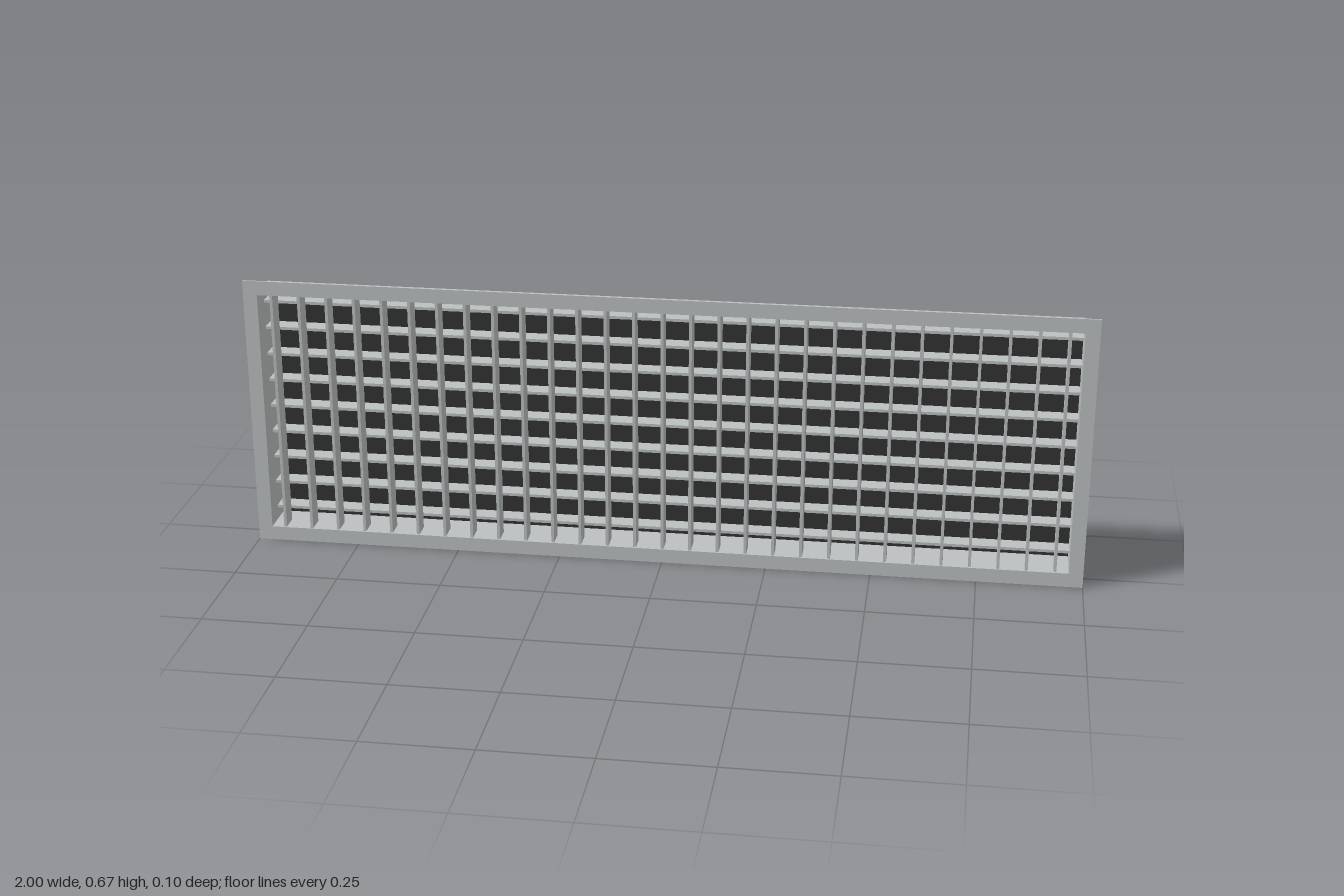
import * as THREE from 'three';

const WIDTH = 2, HEIGHT = 0.667, MID = HEIGHT / 2;
const DUCT_W = 1.94, DUCT_H = 0.606, WALL = 0.004;
const PITCH = 0.0667;

// Rectangular ring of the given outer and inner sizes, running from z0 to z1
function ring(name, w, h, iw, ih, z0, z1, material) {
  const rect = (Path, a, b) => new Path([
    new THREE.Vector2(-a / 2, -b / 2), new THREE.Vector2(a / 2, -b / 2),
    new THREE.Vector2(a / 2, b / 2), new THREE.Vector2(-a / 2, b / 2),
  ]);
  const shape = rect(THREE.Shape, w, h);
  shape.holes.push(rect(THREE.Path, iw, ih));
  const geometry = new THREE.ExtrudeGeometry(shape, { depth: z1 - z0, bevelEnabled: false });
  const mesh = new THREE.Mesh(geometry, material);
  mesh.name = name;
  mesh.position.set(0, MID, z0);
  return mesh;
}

export function createModel() {
  const model = new THREE.Group();
  model.name = 'ventGrille';
  const metal = new THREE.MeshStandardMaterial({ color: 0xbcc0c0 });
  metal.name = 'pale grey metal';
  const dark = new THREE.MeshStandardMaterial({ color: 0x333333 });
  dark.name = 'dark backing';

  // Front flange and the shallow duct collar behind it
  const innerW = DUCT_W - 2 * WALL, innerH = DUCT_H - 2 * WALL;
  model.add(ring('flange', WIDTH, HEIGHT, innerW, innerH, 0.047, 0.051, metal));
  model.add(ring('collar', DUCT_W, DUCT_H, innerW, innerH, -0.047, 0.047, metal));

  // Dark sheet closing the back
  const back = new THREE.Mesh(new THREE.BoxGeometry(DUCT_W, 0.6, 0.002), dark);
  back.name = 'backPanel';
  back.position.set(0, MID, -0.05);
  model.add(back);

  // Upright blades in front
  const uprights = new THREE.Group();
  uprights.name = 'verticalBlades';
  const uprightGeometry = new THREE.BoxGeometry(0.007, innerH, 0.044);
  for (let i = -14; i <= 14; i++) {
    const blade = new THREE.Mesh(uprightGeometry, metal);
    blade.name = 'verticalBlade';
    blade.position.set(i * PITCH, MID, 0.025);
    uprights.add(blade);
  }

  // Level blades behind the upright ones
  const levels = new THREE.Group();
  levels.name = 'horizontalBlades';
  const levelGeometry = new THREE.BoxGeometry(innerW, 0.007, 0.042);
  for (let i = -4; i <= 4; i++) {
    const blade = new THREE.Mesh(levelGeometry, metal);
    blade.name = 'horizontalBlade';
    blade.position.set(0, MID + i * PITCH, -0.021);
    levels.add(blade);
  }
  model.add(uprights, levels);
  return model;
}
